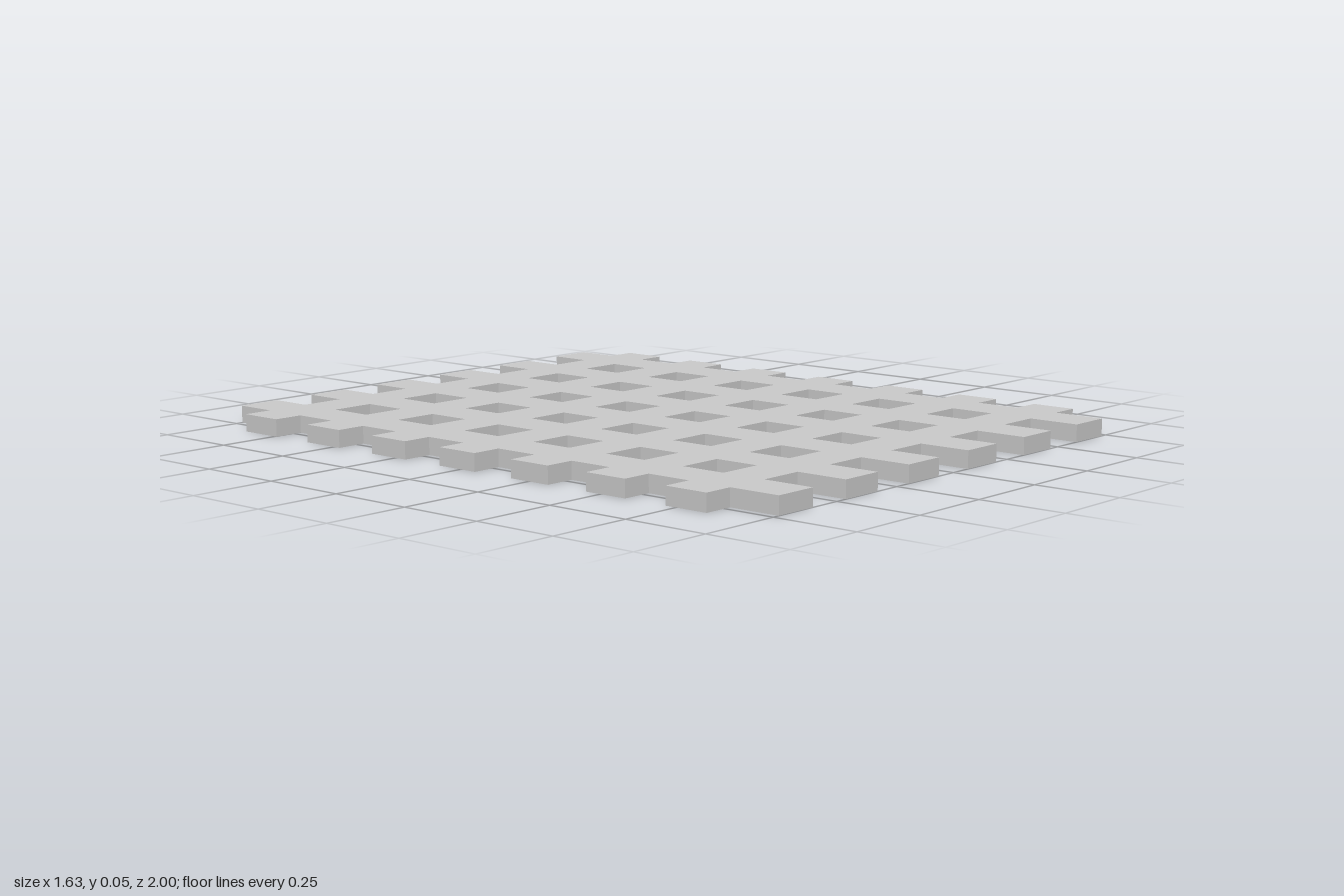
import * as THREE from 'three';

const PITCH = 0.265, HALF = 0.066, THICK = 0.05;
const END_X = 0.817, END_Z = 1, ROW_SHIFT = 0.013; // rows sit slightly toward the back

const centres = (n, shift = 0) => Array.from({ length: n }, (_, i) => (i - (n - 1) / 2) * PITCH + shift);

export function createModel() {
  const group = new THREE.Group();
  group.name = 'lattice';
  const cols = centres(6);
  const rows = centres(7, ROW_SHIFT); // shape y = -z

  // Outer frame of the crossing area, past which the bar ends stick out
  const right = cols[5] + HALF, left = cols[0] - HALF;
  const top = rows[6] + HALF, bottom = rows[0] - HALF;

  // Stepped outline, counter-clockwise around the bar ends
  const outline = [];
  const add = (x, y) => {
    const p = new THREE.Vector2(x, y);
    if (!outline.some((q) => q.distanceTo(p) < 1e-6)) outline.push(p);
  };
  const endZ = (x, d, inner, outer) => {
    add(x - d, inner); add(x - d, outer); add(x + d, outer); add(x + d, inner);
  };
  const endX = (y, d, inner, outer) => {
    add(inner, y - d); add(outer, y - d); add(outer, y + d); add(inner, y + d);
  };
  cols.forEach((x) => endZ(x, HALF, bottom, -END_Z));
  rows.forEach((y) => endX(y, HALF, right, END_X));
  [...cols].reverse().forEach((x) => endZ(x, -HALF, top, END_Z));
  [...rows].reverse().forEach((y) => endX(y, -HALF, left, -END_X));
  const shape = new THREE.Shape(outline);

  // Square openings between the bars
  for (let i = 0; i < cols.length - 1; i++) {
    for (let j = 0; j < rows.length - 1; j++) {
      const x0 = cols[i] + HALF, x1 = cols[i + 1] - HALF;
      const y0 = rows[j] + HALF, y1 = rows[j + 1] - HALF;
      shape.holes.push(new THREE.Path([
        new THREE.Vector2(x0, y0), new THREE.Vector2(x0, y1),
        new THREE.Vector2(x1, y1), new THREE.Vector2(x1, y0),
      ]));
    }
  }

  // Lay the panel flat on the ground
  const geometry = new THREE.ExtrudeGeometry(shape, { depth: THICK, bevelEnabled: false });
  geometry.rotateX(-Math.PI / 2);
  const panel = new THREE.Mesh(geometry, new THREE.MeshStandardMaterial({ color: 0xcccccc }));
  panel.name = 'latticePanel';
  group.add(panel);
  return group;
}
